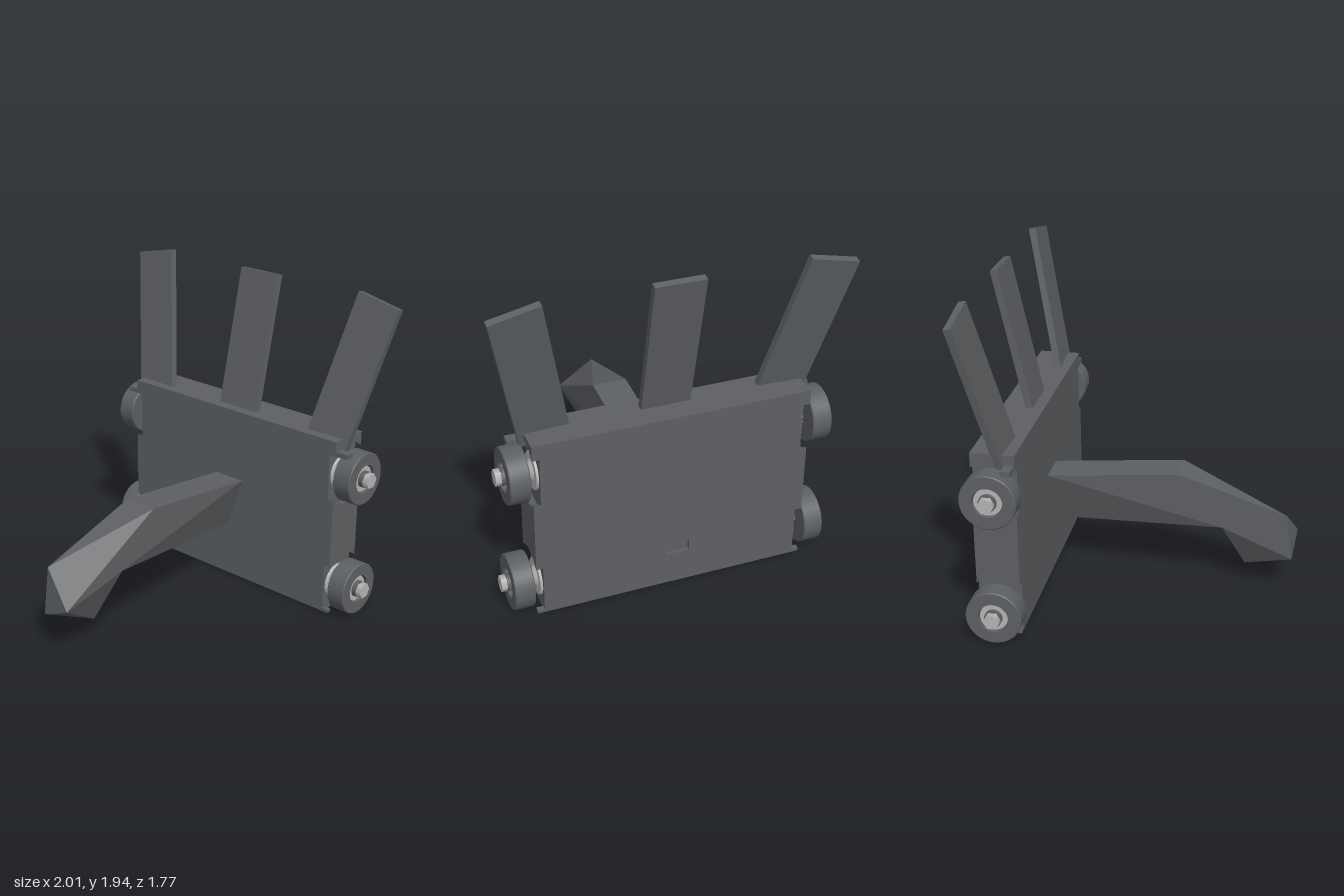
import * as THREE from 'three';
import { toCreasedNormals } from 'three/addons/utils/BufferGeometryUtils.js';

const grey = new THREE.MeshStandardMaterial({ color: 0x5d6063 });
grey.name = 'dark grey';
const silver = new THREE.MeshStandardMaterial({ color: 0xb6b6b6 });
silver.name = 'light metal';

const MID_Z = -0.725;          // middle of the body's thickness
const WHEEL_Y = [0.165, 0.88];

function add(parent, name, geometry, material = grey) {
  const mesh = new THREE.Mesh(geometry, material);
  mesh.name = name;
  parent.add(mesh);
  return mesh;
}

function box(x0, x1, y0, y1, z0, z1) {
  return new THREE.BoxGeometry(x1 - x0, y1 - y0, z1 - z0)
    .translate((x0 + x1) / 2, (y0 + y1) / 2, (z0 + z1) / 2);
}

// Cylinder lying along x between x0 and x1
function axleDisc(r0, r1, x0, x1, sides) {
  return new THREE.CylinderGeometry(r1, r0, x1 - x0, sides)
    .rotateZ(-Math.PI / 2).translate((x0 + x1) / 2, 0, 0);
}

// Body slab, with a small slot cut into the back
function buildBody(parent) {
  add(parent, 'bodyCore', box(-0.76, 0.76, 0, 1.11, -0.83, -0.6));
  const panel = new THREE.Shape();
  panel.moveTo(-0.76, 0).lineTo(0.76, 0).lineTo(0.76, 1.11).lineTo(-0.76, 1.11);
  const slot = new THREE.Path();
  slot.moveTo(-0.1, 0.2).lineTo(-0.1, 0.27).lineTo(0.04, 0.27).lineTo(0.04, 0.2);
  panel.holes.push(slot);
  const geometry = new THREE.ExtrudeGeometry(panel, { depth: 0.02, bevelEnabled: false });
  add(parent, 'backPanel', geometry.translate(0, 0, -0.85));
}

// Side plate with round wheel wells, built for the +x side
function buildSidePlate(parent) {
  const half = 0.125, r = 0.19, a = Math.acos(half / r);
  const [low, high] = WHEEL_Y;
  const top = new THREE.Shape();
  top.moveTo(half, 1.11).lineTo(-half, 1.11);
  top.absarc(0, high, r, Math.PI - a, a, true);
  const middle = new THREE.Shape();
  middle.absarc(0, high, r, Math.PI + a, 2 * Math.PI - a, false);
  middle.absarc(0, low, r, a, Math.PI - a, false);
  for (const shape of [top, middle]) {
    const geometry = new THREE.ExtrudeGeometry(shape, { depth: 0.04, bevelEnabled: false, curveSegments: 20 });
    add(parent, 'sidePlate', geometry.rotateY(Math.PI / 2).translate(0.76, 0, MID_Z));
  }
  for (const z of [-0.85, -0.63]) add(parent, 'plateFoot', box(0.76, 0.8, 0, 0.02, z, z + 0.03));
}

// Wheel with hub and bolt, pointing to +x
function buildWheel() {
  const wheel = new THREE.Group();
  wheel.name = 'wheel';
  const profile = [
    [0, 0.815], [0.155, 0.815], [0.16, 0.82], [0.16, 0.925],
    [0.155, 0.93], [0.086, 0.93], [0.082, 0.908], [0, 0.908],
  ].map(([r, x]) => new THREE.Vector2(r, x));
  const tyre = new THREE.LatheGeometry(profile, 40).rotateZ(-Math.PI / 2);
  add(wheel, 'tyre', toCreasedNormals(tyre, 0.5));
  add(wheel, 'hubDisc', axleDisc(0.082, 0.08, 0.9, 0.914, 32), silver);
  add(wheel, 'hubCollar', axleDisc(0.05, 0.05, 0.9, 0.942, 24));
  add(wheel, 'hubBolt', axleDisc(0.048, 0.048, 0.91, 0.975, 6), silver);
  add(wheel, 'innerDisc', axleDisc(0.11, 0.105, 0.758, 0.773, 32), silver);
  add(wheel, 'axleCone', axleDisc(0.065, 0.035, 0.773, 0.795, 24), silver);
  add(wheel, 'axle', axleDisc(0.035, 0.035, 0.79, 0.82, 12), silver);
  return wheel;
}

// Leaning slat; tilt swings its top sideways
function buildSlat(parent, x, tilt) {
  const slat = add(parent, 'slat', new THREE.BoxGeometry(0.285, 0.9, 0.042).translate(0, 0.45, 0));
  slat.position.set(x, 1.05, -0.675);
  slat.rotation.set(-0.21, 0, tilt, 'ZYX');
}

// Faceted arm reaching forward and bending down
function buildArm(parent) {
  const p = {
    A: [-0.105, 0.665, -0.6], B: [0.105, 0.665, -0.6], K: [0, 0.345, -0.6],
    C: [-0.105, 0.735, 0.19], D: [0.105, 0.735, 0.19],
    L: [-0.105, 0.41, 0.45], R: [0.105, 0.43, 0.45],
    E: [-0.105, 0.52, 0.83], F: [0.105, 0.33, 0.885],
    G: [-0.105, 0.235, 0.865], H: [0, 0.13, 0.58],
  };
  const faces = 'ACD ADB CED EFD EGF GHF DFR DRB BRK FHR ALC CLE ELG AKL GLH HLR KRL ABK';
  const positions = faces.split(' ').flatMap((f) => [...f].flatMap((v) => p[v]));
  const geometry = new THREE.BufferGeometry();
  geometry.setAttribute('position', new THREE.Float32BufferAttribute(positions, 3));
  geometry.computeVertexNormals();
  add(parent, 'arm', geometry);
}

export function createModel() {
  const model = new THREE.Group();
  model.name = 'wheeledPanel';
  buildBody(model);
  buildArm(model);

  for (const side of [1, -1]) {
    // Side parts are turned half round about the body's middle for the right side
    const half = new THREE.Group();
    half.name = side > 0 ? 'leftSide' : 'rightSide';
    half.rotation.y = side > 0 ? 0 : Math.PI;
    half.position.z = side > 0 ? 0 : 2 * MID_Z;
    buildSidePlate(half);
    for (const y of WHEEL_Y) {
      const wheel = buildWheel();
      wheel.position.set(0, y, MID_Z);
      half.add(wheel);
    }
    model.add(half);
    add(model, 'sideTab', box(0.76, 0.88, 1.02, 1.05, -0.66, -0.605).translate(side > 0 ? 0 : -1.64, 0, 0));
  }

  for (const i of [-1, 0, 1]) buildSlat(model, i * 0.68, -i * 0.213);
  return model;
}
